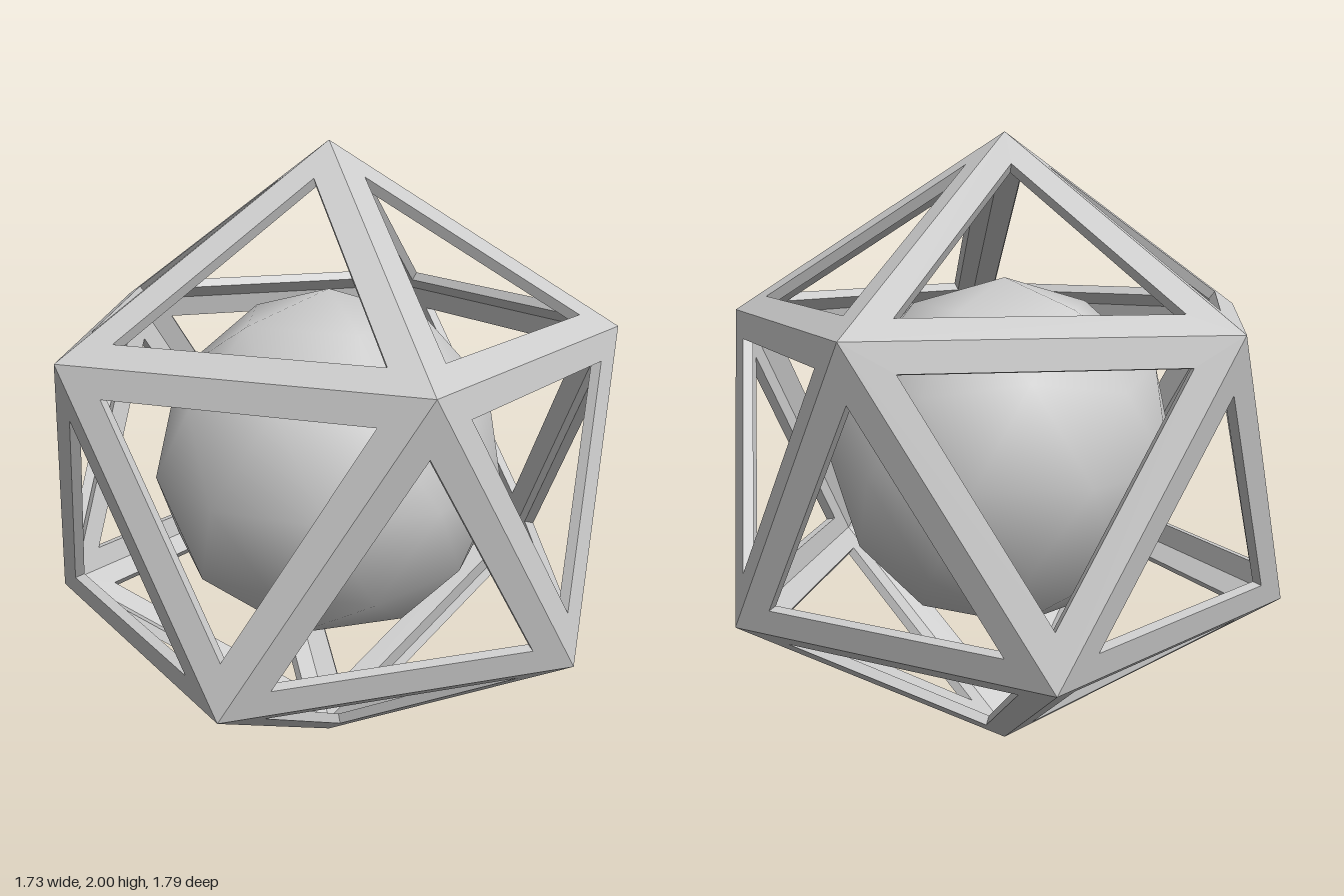
import * as THREE from 'three';

const BORDER = 0.273;    // how far each face opening is inset, corner to centre
const THICKNESS = 0.032; // depth of the frame shell
const CORE_RADIUS = 0.56;

// Icosahedron standing on a corner: top, upper ring, lower ring, bottom.
function icosahedron() {
  const ring = (y, start) => Array.from({ length: 5 }, (_, i) => {
    const a = THREE.MathUtils.degToRad(start + 72 * i), r = Math.sqrt(0.8);
    return new THREE.Vector3(r * Math.sin(a), y, -r * Math.cos(a));
  });
  const y = Math.sqrt(0.2);
  const points = [new THREE.Vector3(0, 1, 0), ...ring(y, 3), ...ring(-y, 39), new THREE.Vector3(0, -1, 0)];
  const faces = [];
  for (let i = 0; i < 5; i++) {
    const j = (i + 1) % 5;
    const u = 1 + i, u2 = 1 + j, l = 6 + i, l2 = 6 + j;
    faces.push([0, u2, u], [u, u2, l], [l2, l, u2], [11, l, l2]);
  }
  return { points, faces };
}

// Open triangular panels, mitred against each other along every edge.
function frameGeometry({ points, faces }) {
  const pos = [];
  const add = (...vs) => vs.forEach(v => pos.push(v.x, v.y, v.z));
  for (const face of faces) {
    const outer = face.map(i => points[i]);
    const centre = outer[0].clone().add(outer[1]).add(outer[2]).divideScalar(3);
    const inward = centre.clone().normalize().multiplyScalar(-THICKNESS);
    const scale = 1 - THICKNESS / centre.length();
    const hole = outer.map(p => p.clone().lerp(centre, BORDER));
    const holeBack = hole.map(p => p.clone().add(inward));
    const back = outer.map(p => p.clone().multiplyScalar(scale));
    // outer strip, wall of the opening, inner strip
    const loops = [outer, hole, holeBack, back];
    for (let s = 0; s < 3; s++) {
      for (let k = 0; k < 3; k++) {
        const n = (k + 1) % 3, p = loops[s], q = loops[s + 1];
        add(p[k], p[n], q[n], p[k], q[n], q[k]);
      }
    }
  }
  const geometry = new THREE.BufferGeometry();
  geometry.setAttribute('position', new THREE.Float32BufferAttribute(pos, 3));
  geometry.computeVertexNormals();
  return geometry;
}

export function createModel() {
  const group = new THREE.Group();
  group.name = 'caged sphere';
  const solid = icosahedron();

  // Faceted cage
  const cage = new THREE.Mesh(
    frameGeometry(solid),
    new THREE.MeshStandardMaterial({ color: 0xcccccc, flatShading: true })
  );
  cage.name = 'cage';

  // Smooth-shaded core, aligned with the cage
  const core = new THREE.Mesh(
    new THREE.PolyhedronGeometry(solid.points.flatMap(p => p.toArray()), solid.faces.flat(), CORE_RADIUS, 1),
    new THREE.MeshStandardMaterial({ color: 0xcccccc })
  );
  core.name = 'core';

  for (const part of [cage, core]) {
    part.position.y = 1;
    group.add(part);
  }
  return group;
}
